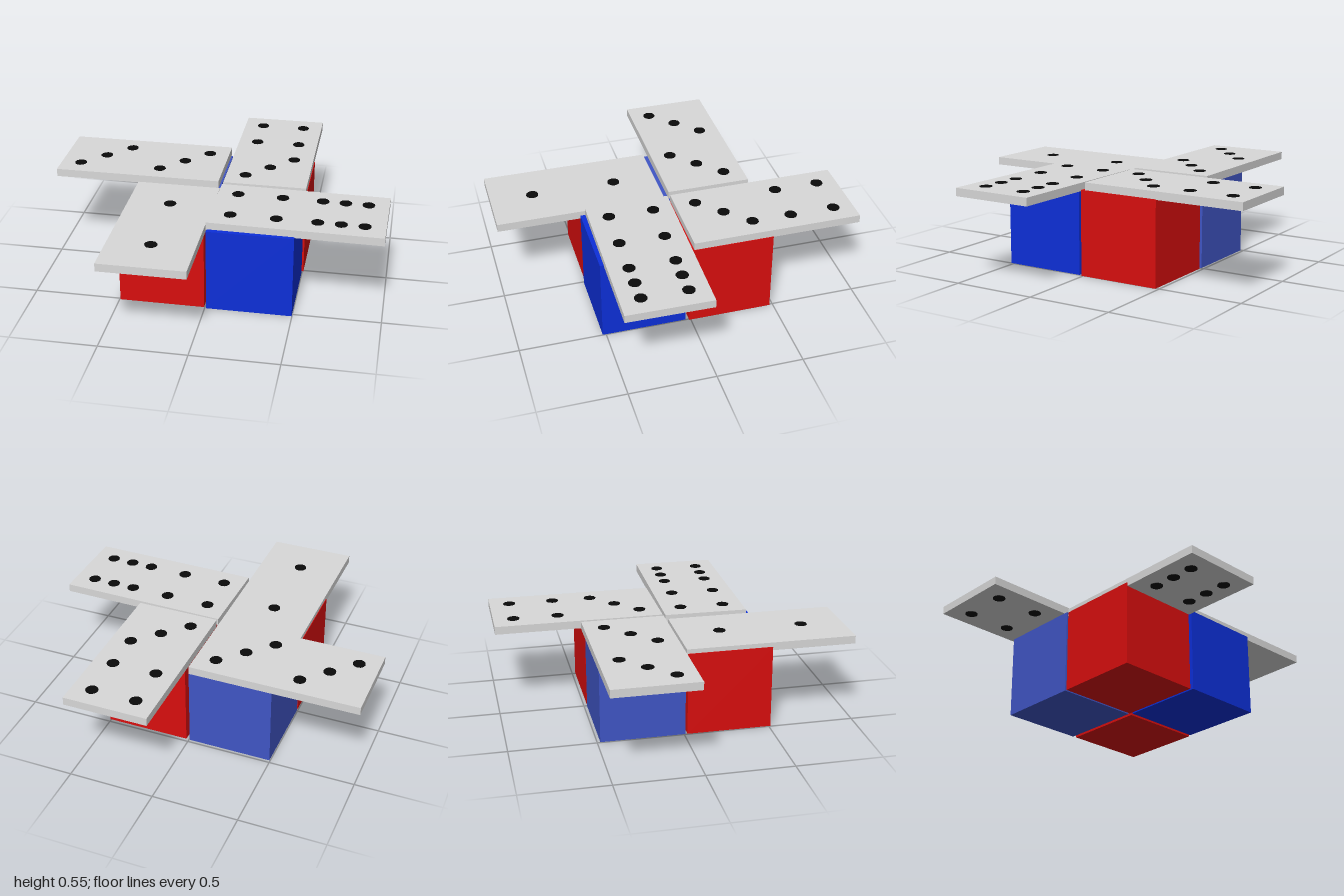
import * as THREE from 'three';

const mat = (name, color) => {
  const m = new THREE.MeshStandardMaterial({ color });
  m.name = name;
  return m;
};

export function createModel() {
  const red = mat('red', 0xd90e0e);
  const blue = mat('blue', 0x0d2fd9);
  const paleBlue = mat('pale blue', 0x4055c5);
  const grey = mat('light grey', 0xd8d8d8);
  const black = mat('black', 0x0a0a0a);
  const model = new THREE.Group();
  model.name = 'tilesOnBlocks';

  // Four blocks of the base, placed by centre
  const block = (name, material, x, z, height) => {
    const mesh = new THREE.Mesh(new THREE.BoxGeometry(0.49, height, 0.49), material);
    mesh.name = name;
    mesh.position.set(x, height / 2, z);
    model.add(mesh);
  };
  block('frontLeftBlock', blue, 0.253, 0.275, 0.495);
  block('frontRightBlock', red, -0.25, 0.265, 0.49);
  block('backLeftBlock', red, 0.262, -0.235, 0.497);
  block('backRightBlock', paleBlue, -0.25, -0.237, 0.497);

  // Pip layouts in steps along the length (u) and width (v) of half a tile
  const pips = {
    one: [[0, 0]],
    three: [[-1, -1], [0, 0], [1, 1]],
    threeMirrored: [[-1, 1], [0, 0], [1, -1]],
    four: [[-1, -1], [-1, 1], [1, -1], [1, 1]],
    six: [[-1, -1], [0, -1], [1, -1], [-1, 1], [0, 1], [1, 1]],
  };
  const thick = 0.047, step = 0.13;
  const pipGeometry = new THREE.CylinderGeometry(0.036, 0.036, 0.004, 12);

  // A long tile: local +x points outward; halves are inner top, outer top, outer underside
  const tile = (name, x, bottom, z, turn, inner, outer, under) => {
    const group = new THREE.Group();
    group.name = name;
    const slab = new THREE.Mesh(new THREE.BoxGeometry(0.985, thick, 0.49), grey);
    slab.name = 'slab';
    group.add(slab);
    for (const [layout, centre, side] of [[inner, -0.245, 1], [outer, 0.245, 1], [under, 0.245, -1]]) {
      for (const [u, v] of layout) {
        const pip = new THREE.Mesh(pipGeometry, black);
        pip.name = 'pip';
        pip.position.set(centre + u * step, side * (thick / 2 + 0.001), v * step);
        group.add(pip);
      }
    }
    group.position.set(x, bottom + thick / 2, z);
    group.rotation.y = turn;
    model.add(group);
  };
  tile('leftTile', 0.498, 0.49, 0.253, -0.015, pips.four, pips.six, pips.one);
  tile('backTile', 0.258, 0.494, -0.508, Math.PI / 2, pips.three, pips.four, pips.threeMirrored);
  tile('rightTile', -0.508, 0.497, -0.26, Math.PI, pips.threeMirrored, pips.threeMirrored, pips.four);
  tile('frontTile', -0.246, 0.469, 0.507, -Math.PI / 2, pips.one, pips.one, pips.six);

  return model;
}
